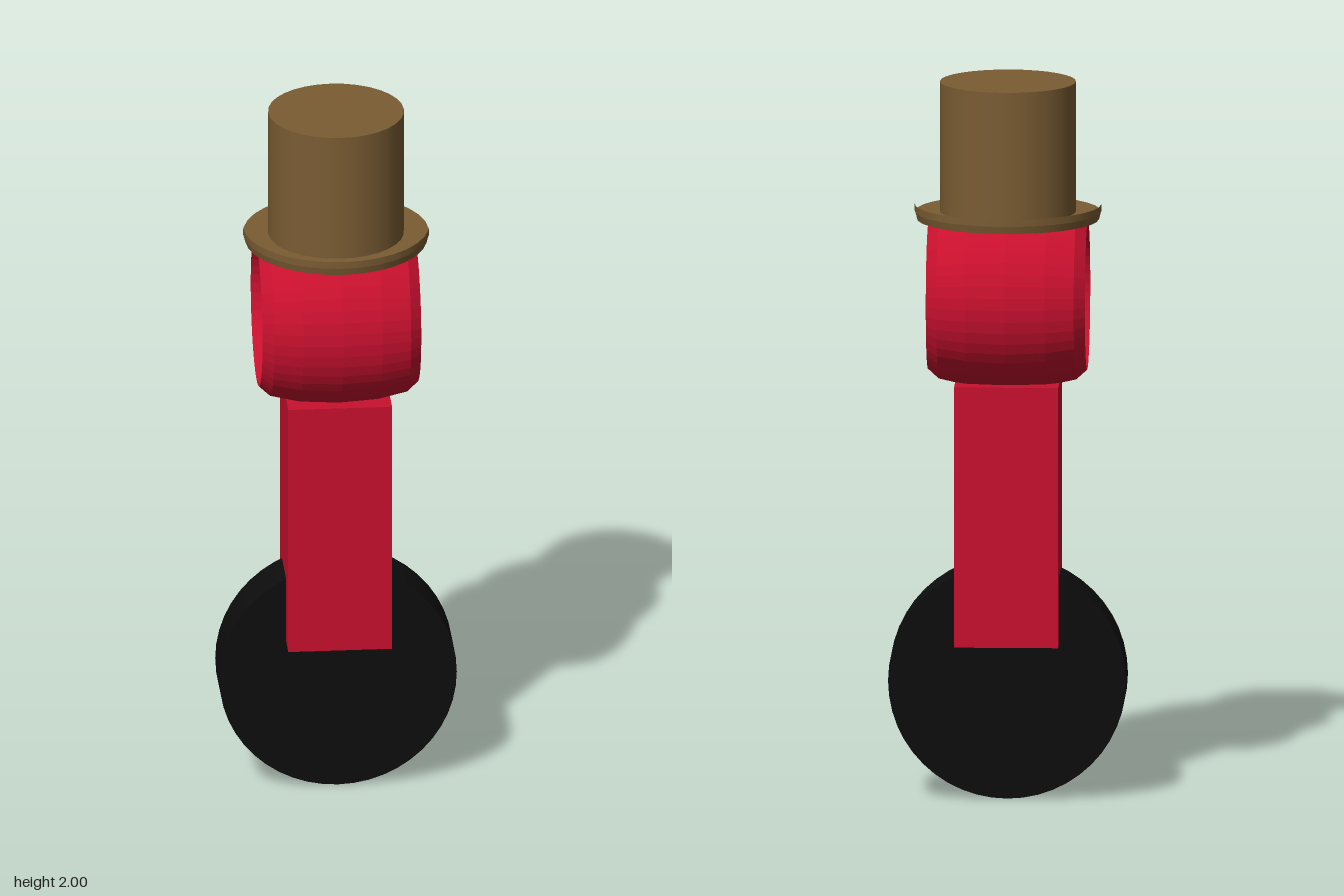
import * as THREE from 'three';

const brown = new THREE.MeshStandardMaterial({ color: 0x7a5c33 });
const red = new THREE.MeshStandardMaterial({ color: 0xc8102e, flatShading: true });
const black = new THREE.MeshStandardMaterial({ color: 0x0d0d0d });

export function createModel() {
  const model = new THREE.Group();
  const add = (name, geometry, material, y) => {
    const mesh = new THREE.Mesh(geometry, material);
    mesh.name = name;
    mesh.position.y = y;
    model.add(mesh);
    return mesh;
  };

  // Wheel, rolling along x
  add('wheel', new THREE.CylinderGeometry(0.329, 0.329, 0.146, 48).rotateX(Math.PI / 2), black, 0.329);

  // Square post that straddles the wheel
  add('post', new THREE.BoxGeometry(0.288, 0.73, 0.288), red, 0.8);

  // Barrel head along x: deep socket on the right end, shallow dish on the left
  const profile = [
    [0, -0.065], [0.185, -0.065], [0.205, -0.22], [0.232, -0.19], [0.25, -0.11], [0.257, 0],
    [0.25, 0.11], [0.232, 0.19], [0.205, 0.22], [0.185, 0.19], [0, 0.19],
  ].map(([r, x]) => new THREE.Vector2(r, x));
  add('head', new THREE.LatheGeometry(profile, 48).rotateZ(-Math.PI / 2), red, 1.4);

  // Hat: crown, brim plate and the open rims above and below the plate
  add('hatCrown', new THREE.CylinderGeometry(0.188, 0.188, 0.365, 32), brown, 1.8175);
  const plate = add('hatBrim', new THREE.CircleGeometry(0.257, 32).rotateX(-Math.PI / 2), brown.clone(), 1.636);
  plate.material.side = THREE.DoubleSide;
  add('brimUpperRim', new THREE.CylinderGeometry(0.258, 0.258, 0.02, 32, 1, true), brown, 1.646);
  add('brimLowerRim', new THREE.CylinderGeometry(0.257, 0.252, 0.021, 32, 1, true), brown, 1.6255);

  return model;
}
